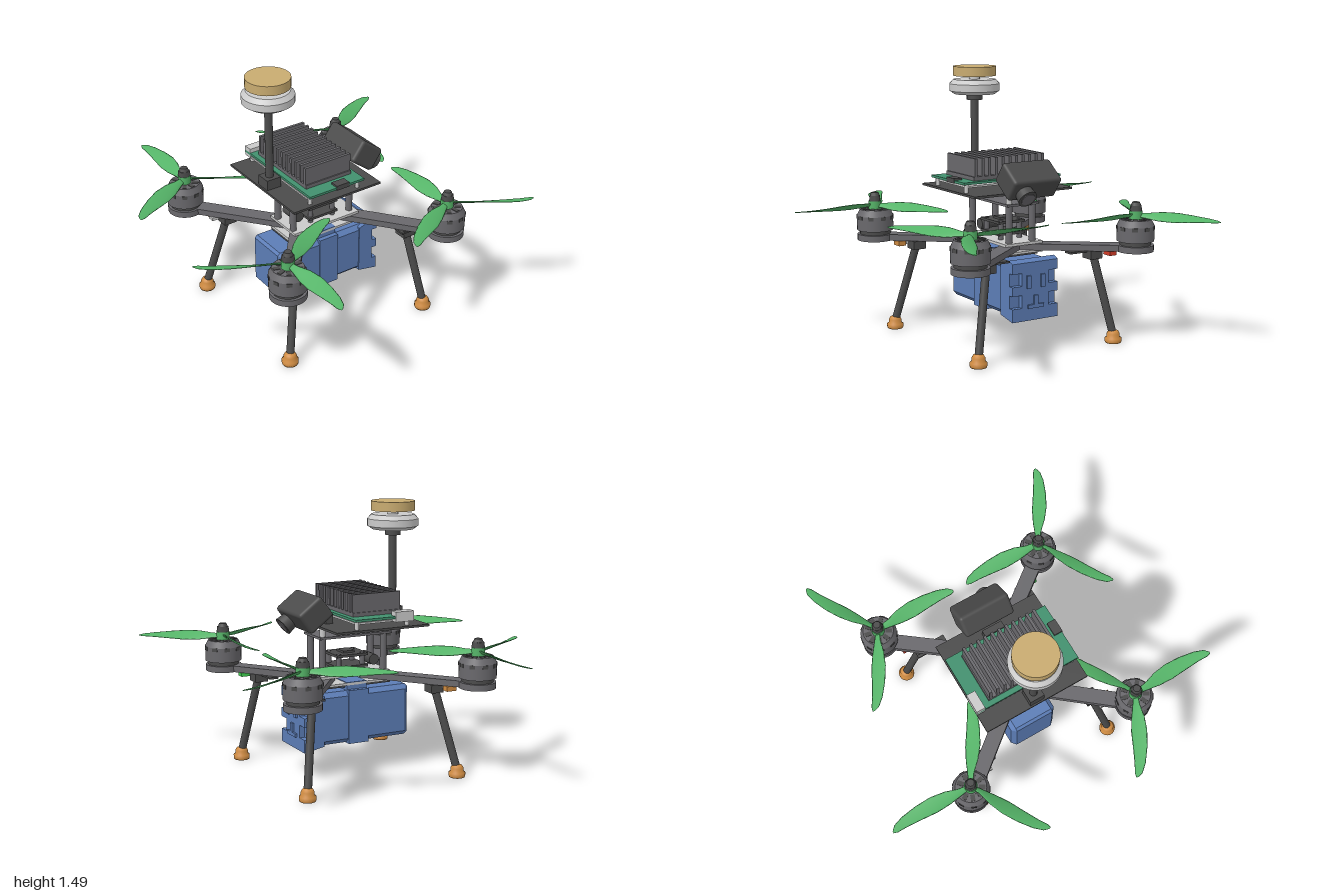
import * as THREE from 'three';
import { RoundedBoxGeometry } from 'three/addons/geometries/RoundedBoxGeometry.js';
import { ParametricGeometry } from 'three/addons/geometries/ParametricGeometry.js';

const mat = (name, color, side = THREE.FrontSide) => {
  const m = new THREE.MeshStandardMaterial({ color, side });
  m.name = name;
  return m;
};
const dark = mat('darkGrey', 0x4b4b4b);
const grey = mat('midGrey', 0x69686c);
const light = mat('lightGrey', 0xcacaca);
const leaf = mat('propellerGreen', 0x55b468, THREE.DoubleSide);
const board = mat('boardGreen', 0x41906e);
const blue = mat('batteryBlue', 0x5c7db6);
const orange = mat('footOrange', 0xd08c42);
const tan = mat('antennaTan', 0xc8ab70);
const red = mat('lampRed', 0xd23c28);
const lampGreen = mat('lampGreen', 0x3fd050);

const rad = THREE.MathUtils.degToRad;

function add(parent, name, geo, material, x = 0, y = 0, z = 0) {
  const m = new THREE.Mesh(geo, material);
  m.name = name;
  m.position.set(x, y, z);
  parent.add(m);
  return m;
}
// Box given by its minimum and maximum on each axis
const box = (p, name, m, x0, x1, y0, y1, z0, z1) =>
  add(p, name, new THREE.BoxGeometry(x1 - x0, y1 - y0, z1 - z0), m, (x0 + x1) / 2, (y0 + y1) / 2, (z0 + z1) / 2);
// Upright cylinder from y0 to y1
const post = (p, name, m, r, x, y0, y1, z, sides = 16, rTop = r) =>
  add(p, name, new THREE.CylinderGeometry(rTop, r, y1 - y0, sides), m, x, (y0 + y1) / 2, z);
const lathe = (pts, n = 32) => new THREE.LatheGeometry(pts.map(([r, y]) => new THREE.Vector2(r, y)), n);

// Twisted blade pointing along +x; s sets the direction of spin
function bladeGeometry(s) {
  const r = [0.02, 0.07, 0.14, 0.22, 0.31, 0.4, 0.455, 0.478];
  const chord = [0.03, 0.045, 0.078, 0.092, 0.08, 0.06, 0.042, 0.012];
  const sweep = [0, 0, 0.006, 0.01, 0.012, 0.008, -0.002, -0.01];
  const pitch = [38, 36, 31, 26, 20, 14, 10, 8];
  const pick = (a, t) => {
    const i = Math.min(Math.floor(t), a.length - 2);
    return a[i] + (a[i + 1] - a[i]) * (t - i);
  };
  return new ParametricGeometry((u, v, out) => {
    const t = u * 7, f = s * v * Math.PI * 2;
    const c = pick(chord, t) / 2, p = rad(pick(pitch, t));
    const w = c * Math.cos(f), h = (0.006 - 0.004 * u) * Math.sin(f);
    out.set(pick(r, t), w * Math.sin(p) + h * Math.cos(p), s * (pick(sweep, t) + w * Math.cos(p) - h * Math.sin(p)));
  }, 14, 12);
}

function makeRotor(x, z) {
  const g = new THREE.Group();
  g.name = 'motorAndPropeller';
  g.position.set(x, 0, z);
  const s = Math.sign(x * z);
  post(g, 'motorBase', dark, 0.085, 0, 0.55, 0.575, 0, 28);
  post(g, 'motorBell', grey, 0.102, 0, 0.572, 0.655, 0, 32);
  post(g, 'motorCap', grey, 0.102, 0, 0.655, 0.69, 0, 32, 0.085);
  for (let i = 0; i < 9; i++) {
    const a = (i / 9) * Math.PI * 2;
    const vent = add(g, 'motorVent', new THREE.BoxGeometry(0.036, 0.006, 0.024), dark, Math.cos(a) * 0.06, 0.69, -Math.sin(a) * 0.06);
    vent.rotation.y = a;
    const slot = add(g, 'motorSlot', new THREE.BoxGeometry(0.008, 0.02, 0.03), dark, Math.cos(a) * 0.1, 0.645, -Math.sin(a) * 0.1);
    slot.rotation.y = a;
  }
  post(g, 'propellerHub', leaf, 0.036, 0, 0.69, 0.735, 0, 20);
  post(g, 'propellerNut', dark, 0.036, 0, 0.735, 0.765, 0, 6, 0.032);
  post(g, 'nutTip', dark, 0.028, 0, 0.765, 0.783, 0, 12, 0.02);
  const geo = bladeGeometry(s);
  for (let i = 0; i < 3; i++)
    add(g, 'propellerBlade', geo, leaf, 0, 0.712, 0).rotation.y = s * Math.PI / 2 + i * Math.PI * 2 / 3;
  return g;
}

function makeArm(x, z) {
  const g = new THREE.Group();
  g.name = 'arm';
  const sx = Math.sign(x), sz = Math.sign(z);
  const x0 = sx * 0.11, len = Math.hypot(x - x0, z);
  const beam = add(g, 'armBeam', new THREE.BoxGeometry(len, 0.035, 0.085), grey, (x + x0) / 2, 0.533, z / 2);
  beam.rotation.y = Math.atan2(-z, x - x0);
  post(g, 'motorMount', grey, 0.1, x, 0.515, 0.55, z, 28);
  // Splayed leg with bracket and rubber foot
  const top = new THREE.Vector3(sx * 0.37, 0.5, sz * 0.34);
  const foot = new THREE.Vector3(sx * 0.455 - 0.012, 0.04, sz * 0.433);
  const dir = top.clone().sub(foot);
  const mid = top.clone().add(foot).multiplyScalar(0.5);
  add(g, 'leg', new THREE.CylinderGeometry(0.022, 0.022, dir.length(), 16), dark, mid.x, mid.y, mid.z)
    .quaternion.setFromUnitVectors(new THREE.Vector3(0, 1, 0), dir.normalize());
  box(g, 'legBracket', dark, top.x - 0.038, top.x + 0.038, 0.47, 0.516, top.z - 0.038, top.z + 0.038);
  add(g, 'foot', lathe([[0, 0], [0.043, 0], [0.046, 0.008], [0.046, 0.026], [0.036, 0.032], [0.036, 0.05], [0.028, 0.065], [0.012, 0.072], [0, 0.072]], 24), orange, foot.x, 0, foot.z);
  // Navigation lamp under the arm
  const lamp = sx < 0 ? orange : sz > 0 ? lampGreen : red;
  box(g, 'lamp', lamp, sx * 0.42 - 0.03, sx * 0.42 + 0.03, 0.488, 0.515, sz * 0.42 - 0.022, sz * 0.42 + 0.022);
  if (sx > 0) box(g, 'sidePlate', dark, 0.315, 0.37, 0.505, 0.515, sz * 0.29 - 0.095, sz * 0.29 + 0.095);
  else box(g, 'lampBase', light, -0.46, -0.4, 0.494, 0.512, sz * 0.37 - 0.02, sz * 0.37 + 0.02);
  return g;
}

function slab(pts, depth, bevel) {
  const shape = new THREE.Shape(pts.map(([x, y]) => new THREE.Vector2(x, y)));
  const geo = new THREE.ExtrudeGeometry(shape, { depth: depth - 2 * bevel, bevelEnabled: bevel > 0, bevelThickness: bevel, bevelSize: bevel, bevelOffset: -bevel, bevelSegments: 1 });
  return geo.translate(0, 0, bevel - depth / 2);
}

function makeBattery() {
  const g = new THREE.Group();
  g.name = 'battery';
  add(g, 'batteryCase', slab([[-0.33, 0.2], [-0.315, 0.185], [0.19, 0.185], [0.23, 0.172], [0.29, 0.172], [0.29, 0.485], [0.26, 0.475], [-0.315, 0.475], [-0.33, 0.46]], 0.28, 0.025), blue);
  // Flared connector end with side notches
  add(g, 'batteryEnd', slab([[0.2, 0.185], [0.32, 0.162], [0.32, 0.235], [0.29, 0.235], [0.29, 0.305], [0.32, 0.305], [0.32, 0.355], [0.29, 0.355], [0.29, 0.425], [0.32, 0.425], [0.32, 0.48], [0.285, 0.495], [0.2, 0.465]], 0.29, 0), blue);
  box(g, 'batteryLatch', blue, 0.27, 0.32, 0.23, 0.43, -0.085, 0.085);
  for (const z of [-0.045, 0.045]) box(g, 'latchRib', blue, 0.31, 0.332, 0.34, 0.41, z - 0.012, z + 0.012);
  box(g, 'latchBar', blue, 0.31, 0.332, 0.23, 0.25, -0.05, 0.05);
  box(g, 'latchKey', blue, 0.31, 0.332, 0.24, 0.3, -0.012, 0.012);
  // Strap around the pack
  box(g, 'strapBand', blue, -0.07, 0.05, 0.18, 0.48, -0.146, 0.146);
  box(g, 'strapTop', blue, -0.07, 0.05, 0.475, 0.52, -0.12, 0.12);
  return g;
}

function makeCentre() {
  const g = new THREE.Group();
  g.name = 'centreFrame';
  box(g, 'bottomPlate', light, -0.23, 0.21, 0.503, 0.516, -0.12, 0.12);
  for (const x of [-0.145, 0.105]) box(g, 'bottomPad', dark, x - 0.085, x + 0.085, 0.49, 0.503, -0.1, 0.1);
  box(g, 'middlePlate', light, -0.22, 0.21, 0.55, 0.565, -0.12, 0.12);
  box(g, 'upperDeck', grey, -0.24, 0.2, 0.765, 0.778, -0.1, 0.1);
  for (const x of [-0.2, 0.175]) for (const z of [-0.075, 0.075]) {
    post(g, 'standoff', grey, 0.019, x, 0.56, 0.766, z);
    post(g, 'upperStandoff', light, 0.016, x, 0.778, 0.832, z);
  }
  // Flight controller stack
  for (const y of [0.588, 0.652]) box(g, 'controllerBoard', dark, -0.1, 0.09, y, y + 0.014, -0.085, 0.085);
  box(g, 'controllerChip', dark, -0.04, 0.03, 0.666, 0.678, -0.04, 0.04);
  for (const x of [-0.075, 0.07]) for (const z of [-0.06, 0.06]) post(g, 'controllerPost', grey, 0.015, x, 0.565, 0.668, z, 10);
  add(g, 'capacitor', new THREE.CylinderGeometry(0.03, 0.03, 0.12, 16), dark, -0.15, 0.618, 0).rotation.x = Math.PI / 2;
  return g;
}

function makeComputer() {
  const g = new THREE.Group();
  g.name = 'computer';
  box(g, 'topPlate', dark, -0.35, 0.21, 0.83, 0.842, -0.315, 0.31);
  box(g, 'carrierBoard', light, -0.245, 0.08, 0.868, 0.878, -0.28, 0.28);
  box(g, 'circuitBoard', board, -0.25, 0.1, 0.888, 0.901, -0.315, 0.31);
  for (const x of [-0.23, 0.075]) for (const z of [-0.28, 0.28]) post(g, 'boardStandoff', light, 0.012, x, 0.84, 0.89, z, 10);
  box(g, 'networkSocket', light, -0.25, -0.14, 0.87, 0.925, -0.32, -0.268);
  box(g, 'powerSocket', dark, -0.08, 0, 0.885, 0.912, 0.262, 0.313);
  box(g, 'heatsinkBase', grey, -0.22, 0.07, 0.9, 0.922, -0.23, 0.23);
  for (let i = 0; i < 11; i++) {
    const z = -0.215 + i * 0.043;
    box(g, 'heatsinkFin', grey, -0.22, 0.07, 0.92, 1.02, z - 0.008, z + 0.008);
  }
  return g;
}

function makeCamera() {
  const g = new THREE.Group();
  g.name = 'tiltedCamera';
  g.position.set(0.247, 0.912, -0.003);
  g.rotation.z = rad(-37);
  add(g, 'cameraBody', new RoundedBoxGeometry(0.165, 0.135, 0.3, 3, 0.018), dark);
  const lens = add(g, 'lensBarrel', new THREE.CylinderGeometry(0.054, 0.048, 0.05, 24), dark, 0.105, -0.01, 0.068);
  lens.rotation.z = -Math.PI / 2;
  add(g, 'lensGlass', new THREE.CylinderGeometry(0.038, 0.038, 0.006, 24), grey, 0.13, -0.01, 0.068).rotation.z = -Math.PI / 2;
  return g;
}

function makeMast() {
  const g = new THREE.Group();
  g.name = 'antennaMast';
  g.position.x = -0.298;
  box(g, 'mastBase', dark, -0.043, 0.043, 0.84, 0.9, -0.043, 0.043);
  post(g, 'mastPole', dark, 0.022, 0, 0.84, 1.31, 0);
  post(g, 'mastCollar', dark, 0.044, 0, 1.297, 1.335, 0, 20);
  // Stacked short cylinders keep the rims crisp
  post(g, 'receiverBottom', light, 0.115, 0, 1.33, 1.348, 0, 40, 0.14);
  post(g, 'receiverBody', light, 0.141, 0, 1.348, 1.388, 0, 40);
  post(g, 'receiverTop', light, 0.141, 0, 1.388, 1.412, 0, 40, 0.118);
  post(g, 'antennaStem', light, 0.03, 0, 1.41, 1.435, 0);
  post(g, 'antennaDisc', tan, 0.121, 0, 1.432, 1.485, 0, 40);
  return g;
}

export function createModel() {
  const model = new THREE.Group();
  model.name = 'quadcopter';
  for (const x of [-0.53, 0.51]) for (const z of [-0.523, 0.518])
    model.add(makeArm(x, z), makeRotor(x, z));
  model.add(makeCentre(), makeBattery(), makeComputer(), makeCamera(), makeMast());
  box(model, 'cameraMount', dark, 0.105, 0.145, 0.84, 0.895, -0.06, 0.06);
  return model;
}
